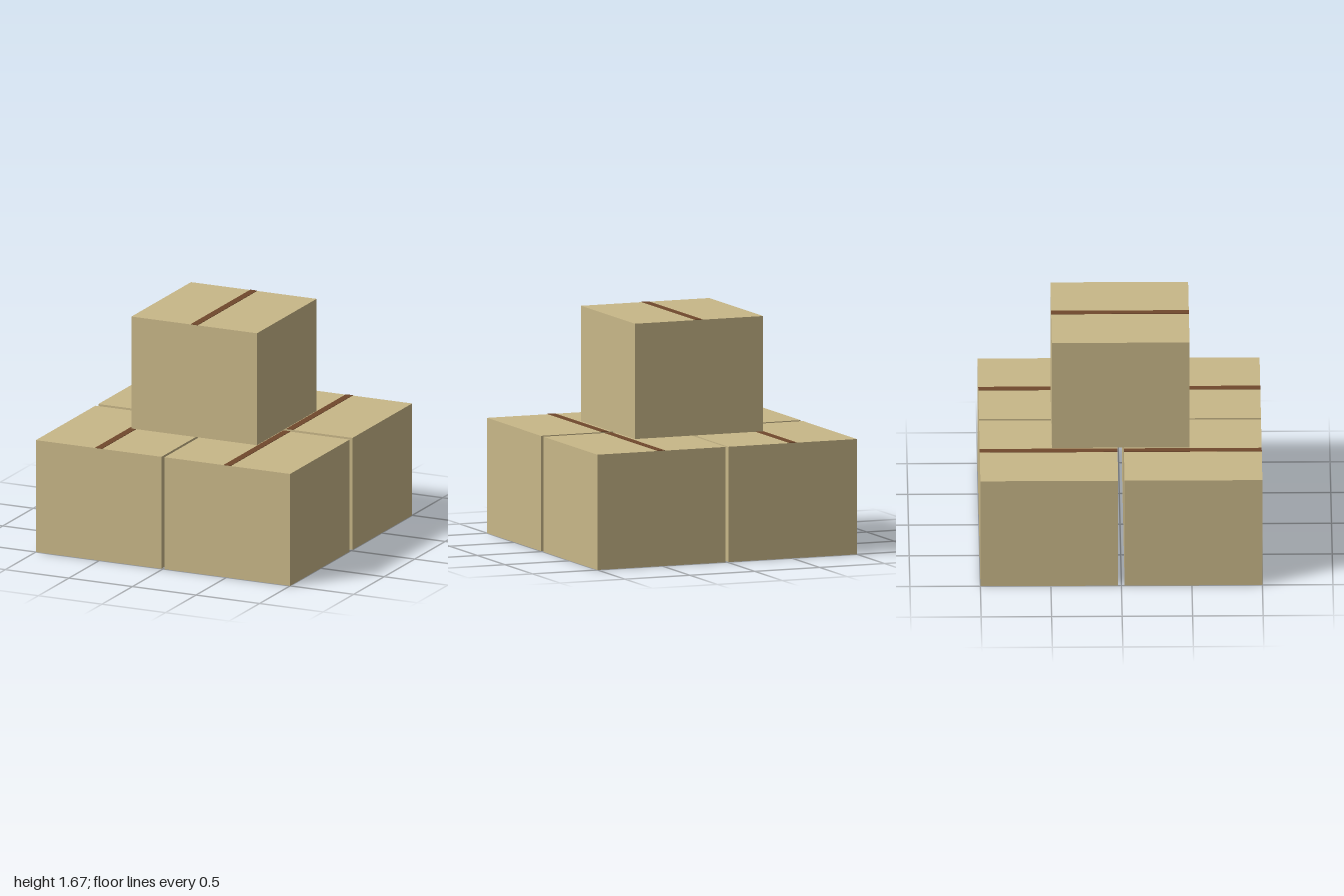
import * as THREE from 'three';

const W = 0.988, H = 0.826, D = 0.977; // carton size
const TAPE_W = 0.054, TAPE_T = 0.003;

export function createModel() {
  const model = new THREE.Group();
  model.name = 'cartonStack';

  const cardboard = new THREE.MeshStandardMaterial({ color: 0xc8b788 });
  cardboard.name = 'cardboard';
  const brownTape = new THREE.MeshStandardMaterial({ color: 0x70482c });
  brownTape.name = 'brown tape';

  const boxGeometry = new THREE.BoxGeometry(W, H, D);
  const tapeGeometry = new THREE.BoxGeometry(TAPE_W, TAPE_T, D);

  // One closed carton with a strip of tape along the top seam
  function addCarton(name, x, y, z) {
    const carton = new THREE.Group();
    carton.name = name;
    carton.position.set(x, y, z);

    const box = new THREE.Mesh(boxGeometry, cardboard);
    box.name = 'box';
    box.position.y = H / 2;

    const tape = new THREE.Mesh(tapeGeometry, brownTape);
    tape.name = 'tape';
    tape.position.y = H + TAPE_T / 2;

    carton.add(box, tape);
    model.add(carton);
  }

  // Bottom layer: two by two with narrow gaps
  for (const [side, sx] of [['Left', 1], ['Right', -1]]) {
    for (const [end, sz] of [['front', 1], ['back', -1]]) {
      addCarton(`${end}${side}Carton`, sx * (1 - W / 2), 0, sz * (1 - D / 2));
    }
  }

  // Single carton centred on top, just clear of the layer below
  addCarton('topCarton', 0, 0.842, 0);

  return model;
}
